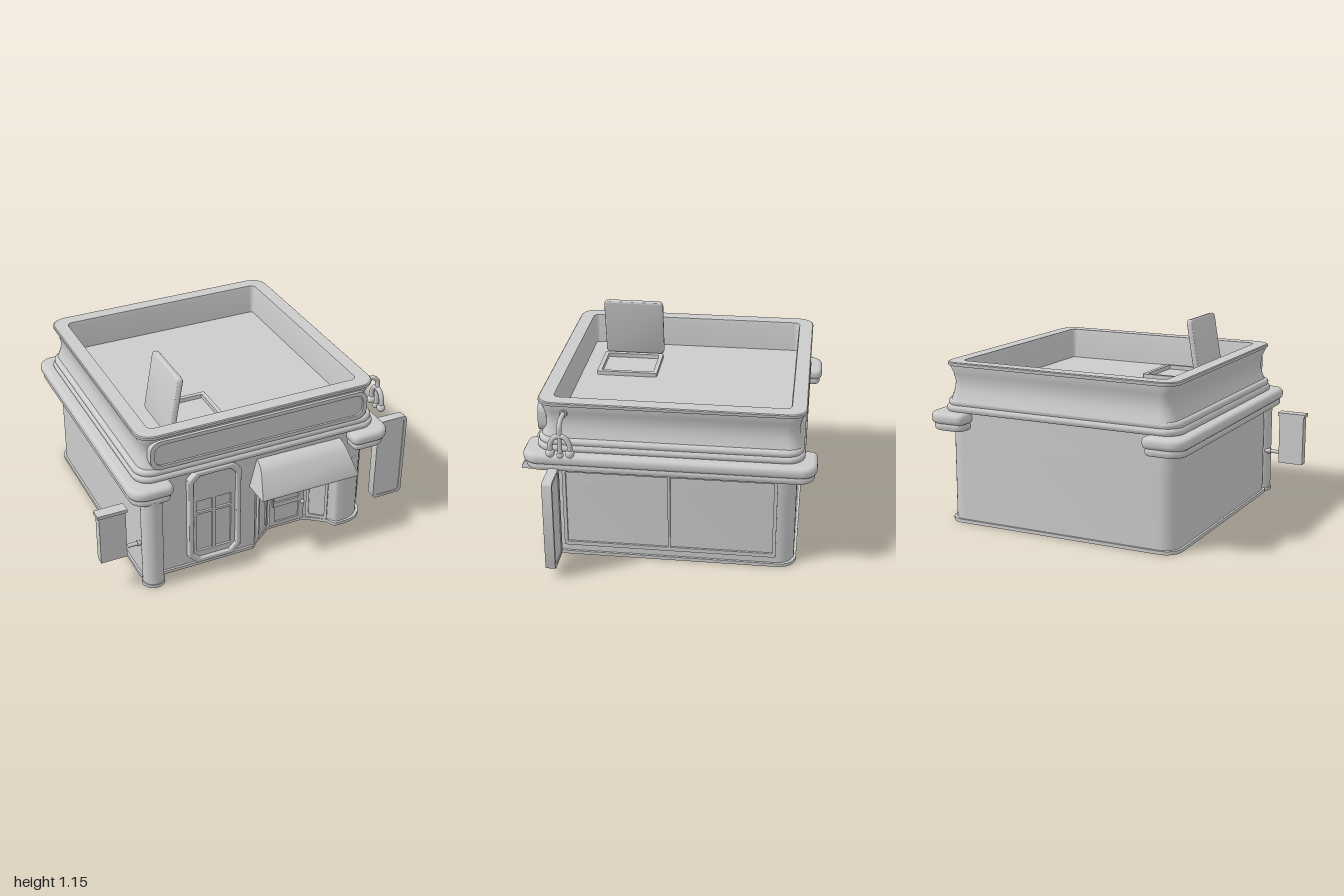
import * as THREE from 'three';
import { toCreasedNormals } from 'three/addons/utils/BufferGeometryUtils.js';

const material = new THREE.MeshStandardMaterial({ color: 0xcccccc });
const CX = -0.02, CZ = -0.03; // centre of the building plan

// Closed outline from [x, y, cornerRadius] points
function outline(points, Type = THREE.Shape) {
  const s = new Type(), n = points.length, k = 0.45;
  points.forEach((p, i) => {
    const c = new THREE.Vector2(p[0], p[1]), r = p[2] || 0;
    const toward = (q) => new THREE.Vector2(q[0], q[1]).sub(c).normalize();
    const u = toward(points[(i + n - 1) % n]), v = toward(points[(i + 1) % n]);
    const a = c.clone().addScaledVector(u, r), b = c.clone().addScaledVector(v, r);
    if (i) s.lineTo(a.x, a.y); else s.moveTo(a.x, a.y);
    if (r) s.bezierCurveTo(c.x + u.x * r * k, c.y + u.y * r * k, c.x + v.x * r * k, c.y + v.y * r * k, b.x, b.y);
  });
  s.closePath();
  return s;
}
const rect = (x0, y0, x1, y1, r = 0, Type) =>
  outline([[x0, y0, r], [x1, y0, r], [x1, y1, r], [x0, y1, r]], Type);

// Extrusion with an optional rounded edge that stays inside the outline
function extrude(shape, depth, bevel = 0) {
  const g = new THREE.ExtrudeGeometry(shape, {
    depth: depth - 2 * bevel, bevelEnabled: bevel > 0, bevelThickness: bevel,
    bevelSize: bevel, bevelOffset: -bevel, bevelSegments: 4, curveSegments: 8,
  });
  return toCreasedNormals(g.translate(0, 0, bevel), 0.7);
}
// Plan outline (drawn with y = -z) raised from y0 to y1
const slab = (shape, y0, y1, bevel) => extrude(shape, y1 - y0, bevel).rotateX(-Math.PI / 2).translate(0, y0, 0);

function add(parent, name, geometry, x = 0, y = 0, z = 0) {
  const m = new THREE.Mesh(geometry, material);
  m.name = name;
  m.position.set(x, y, z);
  parent.add(m);
  return m;
}

// Panel facing +z: a back plate with a raised border around each opening
function framedPanel(name, w, h, depth, r, openings, inset) {
  const g = new THREE.Group();
  g.name = name;
  const border = rect(-w / 2, -h / 2, w / 2, h / 2, r);
  for (const [x0, y0, x1, y1, q = 0] of openings) border.holes.push(rect(x0, y0, x1, y1, q, THREE.Path));
  add(g, name + 'Border', extrude(border, depth));
  add(g, name + 'Back', extrude(rect(-w / 2, -h / 2, w / 2, h / 2, r), depth - inset));
  return g;
}
function place(parent, obj, x, y, z, ry = 0) {
  obj.position.set(x, y, z);
  obj.rotation.y = ry;
  parent.add(obj);
  return obj;
}

// Skin through rounded-rectangle rings [offset, y, radius], capped at the last ring
function ringLoft(hx, hz, rings) {
  const pos = [], idx = [], seg = 6, n = 4 * (seg + 1);
  for (const [o, y, r] of rings) {
    for (let c = 0; c < 4; c++) {
      const sx = c === 0 || c === 3 ? 1 : -1, sz = c < 2 ? 1 : -1;
      for (let i = 0; i <= seg; i++) {
        const t = (c + i / seg) * Math.PI / 2;
        pos.push(CX + sx * (hx + o - r) + r * Math.cos(t), y, CZ - sz * (hz + o - r) - r * Math.sin(t));
      }
    }
  }
  for (let i = 0; i < rings.length - 1; i++) for (let j = 0; j < n; j++) {
    const a = i * n + j, b = i * n + (j + 1) % n;
    idx.push(a, b, b + n, a, b + n, a + n);
  }
  const last = (rings.length - 1) * n;
  for (let j = 1; j < n - 1; j++) idx.push(last, last + j, last + j + 1);
  const g = new THREE.BufferGeometry();
  g.setAttribute('position', new THREE.Float32BufferAttribute(pos, 3));
  g.setIndex(idx);
  return toCreasedNormals(g, 0.6);
}

const tube = (pts, r, seg = 24) => new THREE.TubeGeometry(
  new THREE.CatmullRomCurve3(pts.map((p) => new THREE.Vector3(...p))), seg, r, 10);

// Ground plan with the angled entrance; e widens it
const groundPlan = (e) => outline([
  [-0.74 - e, 0.74 + e, 0.1], [-0.74 - e, -0.69 - e, 0.06], [-0.04 - e, -0.69 - e, 0], [-0.02 + e, -0.66, 0],
  [0.1 + e, -0.56 - e, 0], [0.36 - e, -0.56 - e, 0], [0.48 - e, -0.66, 0], [0.5 - e, -0.7 - e, 0.02],
  [0.705 + e, -0.7 - e, 0.15], [0.705 + e, 0.74 + e, 0.1]]);

export function createModel() {
  const model = new THREE.Group();
  model.name = 'shop';

  // Walls
  add(model, 'base', slab(groundPlan(0.013), 0, 0.02));
  add(model, 'groundWalls', slab(groundPlan(0), 0.01, 0.46));
  add(model, 'upperWalls', slab(outline([[-0.74, 0.74, 0.1], [-0.74, -0.69, 0.06], [0.705, -0.7, 0.15], [0.705, 0.74, 0.1]]), 0.46, 0.68));
  add(model, 'cornerPillar', new THREE.CylinderGeometry(0.062, 0.062, 0.58, 24), -0.697, 0.29, 0.727);
  add(model, 'pillarFoot', new THREE.CylinderGeometry(0.067, 0.067, 0.02, 24), -0.697, 0.01, 0.727);

  // Side cornices wrapping the corners
  for (const [name, a, b] of [['rightCornice', -0.83, -0.58], ['leftCornice', 0.785, 0.54]]) {
    const s = Math.sign(a);
    const band = (e) => {
      const p = [[a - s * e, -0.8 + e, 0.09], [b + s * e, -0.8 + e, 0.04], [b + s * e, 0.85 - e, 0.04], [a - s * e, 0.85 - e, 0.09]];
      return outline(s > 0 ? p.reverse() : p);
    };
    add(model, name + 'Lower', slab(band(0.012), 0.565, 0.615, 0.018));
    add(model, name + 'Upper', slab(band(0), 0.605, 0.67, 0.025));
  }

  // Double moulding around the building
  for (const [y0, y1, e] of [[0.665, 0.708, 0], [0.7, 0.742, 0.008]])
    add(model, 'moulding', slab(rect(-0.77 + e, -0.73 + e, 0.73 - e, 0.78 - e, 0.1), y0, y1, 0.019));

  // Hollowed parapet, lip and roof floor
  add(model, 'parapetAndRoof', ringLoft(0.73, 0.75, [
    [-0.008, 0.73, 0.09], [-0.02, 0.76, 0.08], [-0.033, 0.8, 0.07], [-0.036, 0.84, 0.07], [-0.028, 0.89, 0.07],
    [-0.012, 0.93, 0.08], [-0.012, 0.938, 0.08], [-0.002, 0.938, 0.09], [0, 0.943, 0.09], [0, 0.955, 0.09],
    [-0.005, 0.96, 0.09], [-0.085, 0.96, 0.035], [-0.09, 0.94, 0.03], [-0.098, 0.775, 0.015]]));

  // Fascia board on the front
  place(model, framedPanel('fascia', 1.34, 0.18, 0.05, 0.06, [[-0.645, -0.067, 0.645, 0.067, 0.05]], 0.012), -0.02, 0.832, 0.672);

  // Roof hatch with open lid
  const hatch = rect(-0.44, -0.525, -0.12, -0.155, 0.015);
  hatch.holes.push(rect(-0.41, -0.5, -0.145, -0.18, 0.01, THREE.Path));
  add(model, 'hatchFrame', slab(hatch, 0.77, 0.8));
  const lid = add(model, 'hatchLid', extrude(rect(-0.185, 0, 0.185, 0.37, 0.025), 0.035, 0.01).rotateY(Math.PI / 2), -0.502, 0.79, 0.34);
  lid.rotation.z = -0.17;

  // Front window panel with cut corners
  const cut = (x, y, w, h, c, Type) => outline([[x - w, y - h + c], [x - w + c, y - h], [x + w - c, y - h], [x + w, y - h + c],
    [x + w, y + h - c], [x + w - c, y + h], [x - w + c, y + h], [x - w, y + h - c]], Type);
  const surround = cut(-0.31, 0.35, 0.162, 0.315, 0.05);
  surround.holes.push(cut(-0.31, 0.35, 0.132, 0.285, 0.04, THREE.Path));
  add(model, 'windowSurround', extrude(surround, 0.05, 0.008), 0, 0, 0.68);
  const sash = cut(-0.31, 0.35, 0.14, 0.29, 0.04);
  for (const [x0, x1] of [[-0.418, -0.32], [-0.302, -0.204]]) {
    sash.holes.push(rect(x0, 0.105, x1, 0.362, 0, THREE.Path), rect(x0, 0.378, x1, 0.456, 0, THREE.Path));
  }
  add(model, 'windowSash', extrude(sash, 0.03), 0, 0, 0.68);
  add(model, 'windowPanes', new THREE.BoxGeometry(0.24, 0.37, 0.02), -0.31, 0.28, 0.687);

  // Entrance: door, fittings and angled side panels
  place(model, framedPanel('door', 0.23, 0.43, 0.025, 0, [[-0.08, -0.05, 0.08, 0.19], [-0.08, -0.19, 0.08, -0.08]], 0.01), 0.23, 0.235, 0.555);
  add(model, 'doorKnob', new THREE.SphereGeometry(0.013, 14, 10), 0.325, 0.16, 0.6);
  add(model, 'doorKnobStem', new THREE.CylinderGeometry(0.005, 0.005, 0.04, 8).rotateX(Math.PI / 2), 0.325, 0.16, 0.58);
  add(model, 'doorBar', new THREE.CylinderGeometry(0.006, 0.006, 0.25, 10), 0.13, 0.295, 0.592);
  for (const s of [-1, 1]) {
    place(model, framedPanel('entranceSidePanel', 0.13, 0.42, 0.014, 0, [[-0.048, -0.19, 0.048, 0.19]], 0.008),
      0.23 + s * 0.19, 0.235, 0.61, -s * Math.atan2(0.1, 0.12));
  }

  // Awning, narrowing toward its top
  const side = new THREE.Shape();
  side.moveTo(0.67, 0.45);
  side.lineTo(0.86, 0.45);
  side.lineTo(0.86, 0.465);
  side.lineTo(0.785, 0.57);
  side.quadraticCurveTo(0.75, 0.625, 0.67, 0.63);
  side.closePath();
  const awning = new THREE.ExtrudeGeometry(side, { depth: 0.62, bevelEnabled: false, curveSegments: 10 });
  awning.translate(0, 0, -0.31).rotateY(-Math.PI / 2);
  const p = awning.attributes.position;
  for (let i = 0; i < p.count; i++) p.setX(i, 0.23 + p.getX(i) * (1 - 0.14 * (p.getY(i) - 0.45) / 0.18));
  add(model, 'awning', toCreasedNormals(awning, 0.7));

  // Large side window
  place(model, framedPanel('sideWindow', 1.22, 0.5, 0.025, 0,
    [[-0.59, -0.226, -0.007, 0.226], [0.007, -0.226, 0.59, 0.226]], 0.014), 0.692, 0.31, -0.027, Math.PI / 2);

  // Upright blade sign with borders on both faces
  for (const s of [0, 1]) {
    place(model, framedPanel('bladeSign', 0.198, 0.55, 0.028, 0.025, [[-0.08, -0.257, 0.08, 0.257, 0.02]], 0.005), 0.9, 0.335, 0.607, s * Math.PI);
  }

  // Small hanging sign on a bracket
  add(model, 'hangingSign', new THREE.BoxGeometry(0.155, 0.31, 0.055), -0.917, 0.362, 0.677);
  add(model, 'hangingSignCap', new THREE.BoxGeometry(0.175, 0.02, 0.068), -0.917, 0.52, 0.677);
  add(model, 'signBracket', new THREE.CylinderGeometry(0.012, 0.012, 0.12, 12).rotateZ(Math.PI / 2), -0.79, 0.265, 0.69);
  add(model, 'bracketCollar', new THREE.CylinderGeometry(0.018, 0.018, 0.015, 12).rotateZ(Math.PI / 2), -0.767, 0.265, 0.69);

  // Wall lamp: bent arm with a forked, ball-ended drop
  const lamp = new THREE.Group();
  lamp.name = 'wallLamp';
  model.add(lamp);
  add(lamp, 'lampArm', tube([[0.67, 0.89, 0.565], [0.73, 0.89, 0.565], [0.785, 0.887, 0.565], [0.81, 0.865, 0.565], [0.815, 0.82, 0.565], [0.815, 0.7, 0.565]], 0.014, 32));
  add(lamp, 'lampFork', tube([[0.815, 0.71, 0.51], [0.815, 0.76, 0.511], [0.815, 0.8, 0.533], [0.815, 0.812, 0.565],
    [0.815, 0.8, 0.597], [0.815, 0.76, 0.619], [0.815, 0.71, 0.62]], 0.015, 32));
  for (const z of [0.51, 0.62]) add(lamp, 'lampBall', new THREE.SphereGeometry(0.026, 16, 12), 0.815, 0.706, z);
  add(lamp, 'lampTip', new THREE.SphereGeometry(0.02, 16, 12), 0.815, 0.695, 0.565);
  add(lamp, 'lampRose', new THREE.CylinderGeometry(0.022, 0.022, 0.02, 16).rotateZ(Math.PI / 2), 0.692, 0.89, 0.565);

  return model;
}
